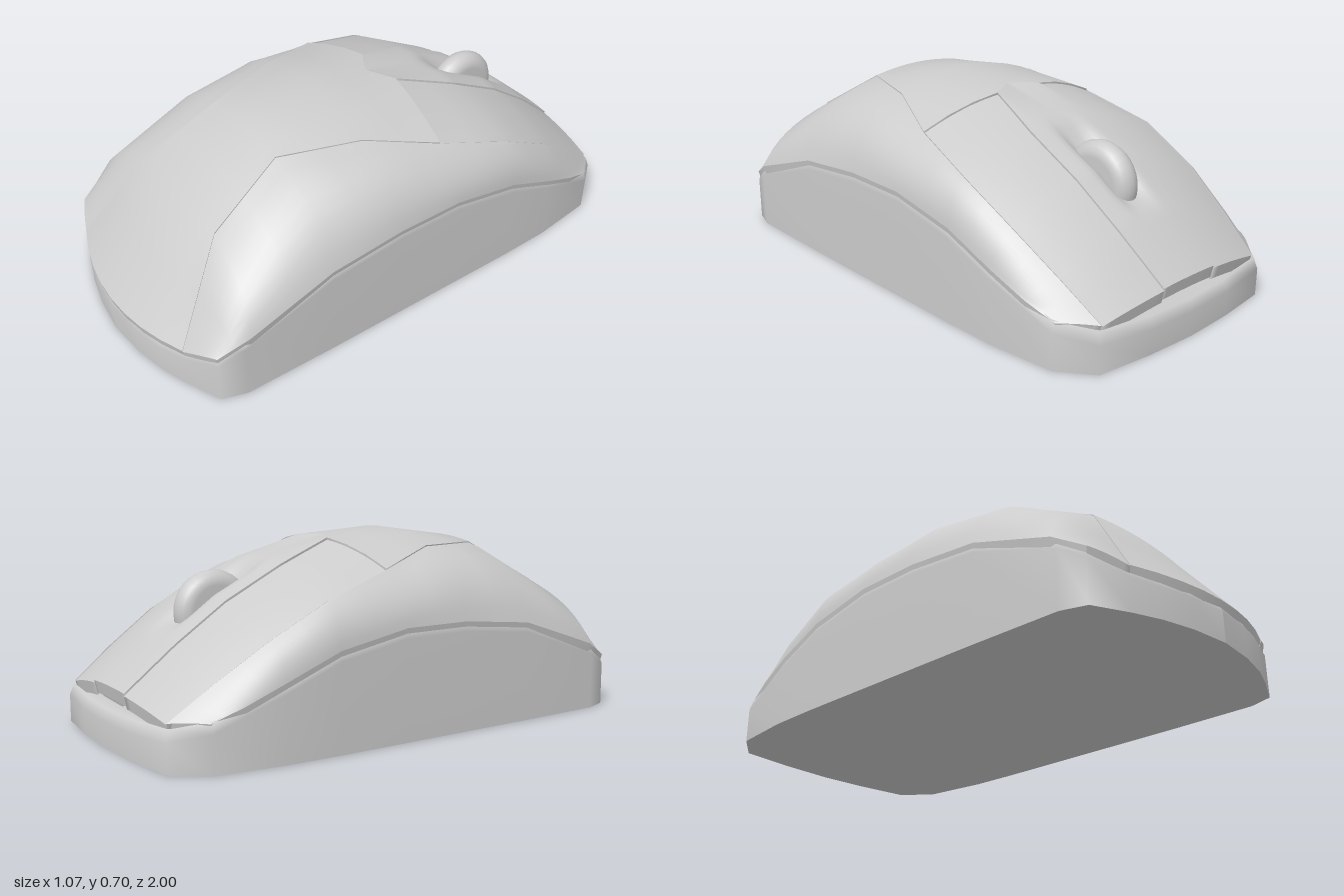
import * as THREE from 'three';
import { mergeGeometries } from 'three/addons/utils/BufferGeometryUtils.js';

const material = new THREE.MeshStandardMaterial({ color: 0xcccccc, side: THREE.DoubleSide });

// Half cross-sections, palm end to button end: ridge, panel seam, shoulder, base rim (x, y, z)
const ROWS = [
  [[0, .15, 1], [.37, .16, .92], [.44, .185, .89], [.5, .2, .86]],
  [[0, .49, .71], [.25, .48, .7], [.44, .39, .72], [.535, .26, .75]],
  [[0, .66, .42], [.2, .64, .42], [.42, .545, .42], [.535, .37, .42]],
  [[0, .7, .13], [.3, .645, .13], [.46, .56, .13], [.535, .4, .13]],
  [[0, .68, -.13], [.41, .585, -.13], [.5, .5, -.13], [.535, .4, -.13]],
  [[0, .61, -.4], [.46, .505, -.4], [.515, .44, -.4], [.535, .35, -.4]],
  [[0, .5, -.62], [.45, .39, -.62], [.505, .34, -.61], [.53, .27, -.6]],
  [[0, .37, -.8], [.42, .27, -.8], [.48, .24, -.77], [.515, .21, -.74]],
  [[0, .21, -.98], [.39, .16, -.95], [.44, .165, -.9], [.49, .165, -.85]],
];
const SEAM_ROW = 4;
const lerp = THREE.MathUtils.lerp;

function rowPoint(i, u) {
  const [c, e, m, r] = ROWS[i], t = Math.abs(u), side = Math.sign(u);
  let p;
  if (t <= 1) {
    p = [e[0] * t, lerp(c[1], e[1], t * t), lerp(c[2], e[2], t * t)];
    // Notched seam between the palm panel and the buttons
    if (i === SEAM_ROW) p[2] = t < .25 ? lerp(-.11, -.17, t / .25) : lerp(-.17, -.13, (t - .25) / .75);
  } else {
    const v = t - 1;
    p = e.map((k, n) => k * (1 - v) * (1 - 2 * v) + 4 * m[n] * v * (1 - v) + r[n] * v * (2 * v - 1));
  }
  return new THREE.Vector3(p[0] * side, p[1], p[2]);
}

function shellPoint(s, u) {
  const i = Math.min(Math.floor(s), ROWS.length - 2);
  return rowPoint(i, u).lerp(rowPoint(i + 1, u), s - i);
}

function grid(points) {
  const nv = points[0].length, index = [];
  for (let i = 0; i < points.length - 1; i++) {
    for (let j = 0; j < nv - 1; j++) {
      const a = i * nv + j, b = a + nv;
      index.push(a, a + 1, b, a + 1, b + 1, b);
    }
  }
  const geometry = new THREE.BufferGeometry().setFromPoints(points.flat());
  geometry.setIndex(index);
  geometry.computeVertexNormals();
  return geometry;
}

// Shell panel between two u limits, with a short skirt turned down along its border
function panel(name, s0, s1, uMin, uMax, { perRow = 2, nv = 8, lift = 0, shape = () => 0 } = {}) {
  const ns = (s1 - s0) * perRow, points = [];
  for (let i = 0; i <= ns; i++) {
    const s = s0 + i / perRow, line = [];
    for (let j = 0; j <= nv; j++) {
      const p = shellPoint(s, lerp(uMin(s), uMax(s), j / nv));
      p.y += lift + shape(p);
      line.push(p);
    }
    points.push(line);
  }
  const border = [
    ...points[0],
    ...points.slice(1).map(l => l[nv]),
    ...points[ns].slice(0, -1).reverse(),
    ...points.slice(0, -1).reverse().map(l => l[0]),
  ];
  const lowered = border.map(p => new THREE.Vector3(p.x * .985, p.y - .045, p.z * .99));
  const mesh = new THREE.Mesh(mergeGeometries([grid(points), grid([border, lowered])]), material);
  mesh.name = name;
  return mesh;
}

// Base tray: closed outline, walls following the arched rim, inner ledge and floor
function createBase() {
  const half = [
    [0, .15, 1], [.15, .15, .985], [.27, .15, .957], [.37, .16, .92], [.5, .2, .86],
    [.53, .25, .77], [.535, .37, .42], [.535, .4, .13], [.535, .4, -.13], [.535, .35, -.4],
    [.53, .27, -.6], [.5, .17, -.85], [.41, .14, -.965], [.2, .13, -.99], [0, .13, -1],
  ];
  const loop = [...half, ...half.slice(1, -1).reverse().map(([x, y, z]) => [-x, y, z]), half[0]];
  const ring = (scale, height) => loop.map(([x, y, z]) => new THREE.Vector3(x * scale, height(y), z * scale));
  const walls = grid([
    ring(.93, y => y),
    ring(.985, y => y),
    ring(1, y => y - .04),
    ring(1, () => 0),
  ].reverse());
  const floor = new THREE.ShapeGeometry(new THREE.Shape(loop.slice(0, -1).map(([x, , z]) => new THREE.Vector2(x, z))));
  floor.rotateX(Math.PI / 2);
  floor.deleteAttribute('uv');
  const mesh = new THREE.Mesh(mergeGeometries([walls, floor]), material);
  mesh.name = 'base';
  return mesh;
}

// Scroll wheel with a rounded tread
function createWheel() {
  const r = .145, w = .05, profile = [new THREE.Vector2(0, -w)];
  for (let k = 0; k <= 8; k++) {
    const a = -Math.PI / 2 + k * Math.PI / 8;
    profile.push(new THREE.Vector2(r - w + w * Math.cos(a), w * Math.sin(a)));
  }
  profile.push(new THREE.Vector2(0, w));
  const wheel = new THREE.Mesh(new THREE.LatheGeometry(profile, 32), material);
  wheel.name = 'scrollWheel';
  wheel.rotation.z = Math.PI / 2;
  wheel.position.set(0, .43, -.585);
  return wheel;
}

export function createModel() {
  const group = new THREE.Group();
  group.name = 'computerMouse';
  const last = ROWS.length - 1;
  const at = k => () => k;

  // Half-width of the centre strip as a share of the button deck
  const strip = s => [.25, .35, .365, .365, .33][Math.round(Math.min(s, last) - SEAM_ROW)];
  const stripEdge = s => {
    const i = Math.floor(s);
    return lerp(strip(i), strip(Math.min(i + 1, last)), s - i);
  };
  // Hollow around the wheel
  const hollow = p => -.045 * Math.exp(-((p.x / .06) ** 4) - ((p.z + .59) / .16) ** 4);

  group.add(createBase());
  group.add(panel('palmPanel', 0, SEAM_ROW, at(-1), at(1)));
  group.add(panel('centreStrip', SEAM_ROW, last, s => -stripEdge(s), stripEdge, { perRow: 8, nv: 16, shape: hollow }));
  group.add(panel('leftButton', SEAM_ROW, last, stripEdge, at(.99), { lift: -.008 }));
  group.add(panel('rightButton', SEAM_ROW, last, at(-.99), s => -stripEdge(s), { lift: -.008 }));
  group.add(panel('leftSide', 0, last, at(1), at(2), { lift: -.004 }));
  group.add(panel('rightSide', 0, last, at(-2), at(-1), { lift: -.004 }));
  group.add(createWheel());
  return group;
}
